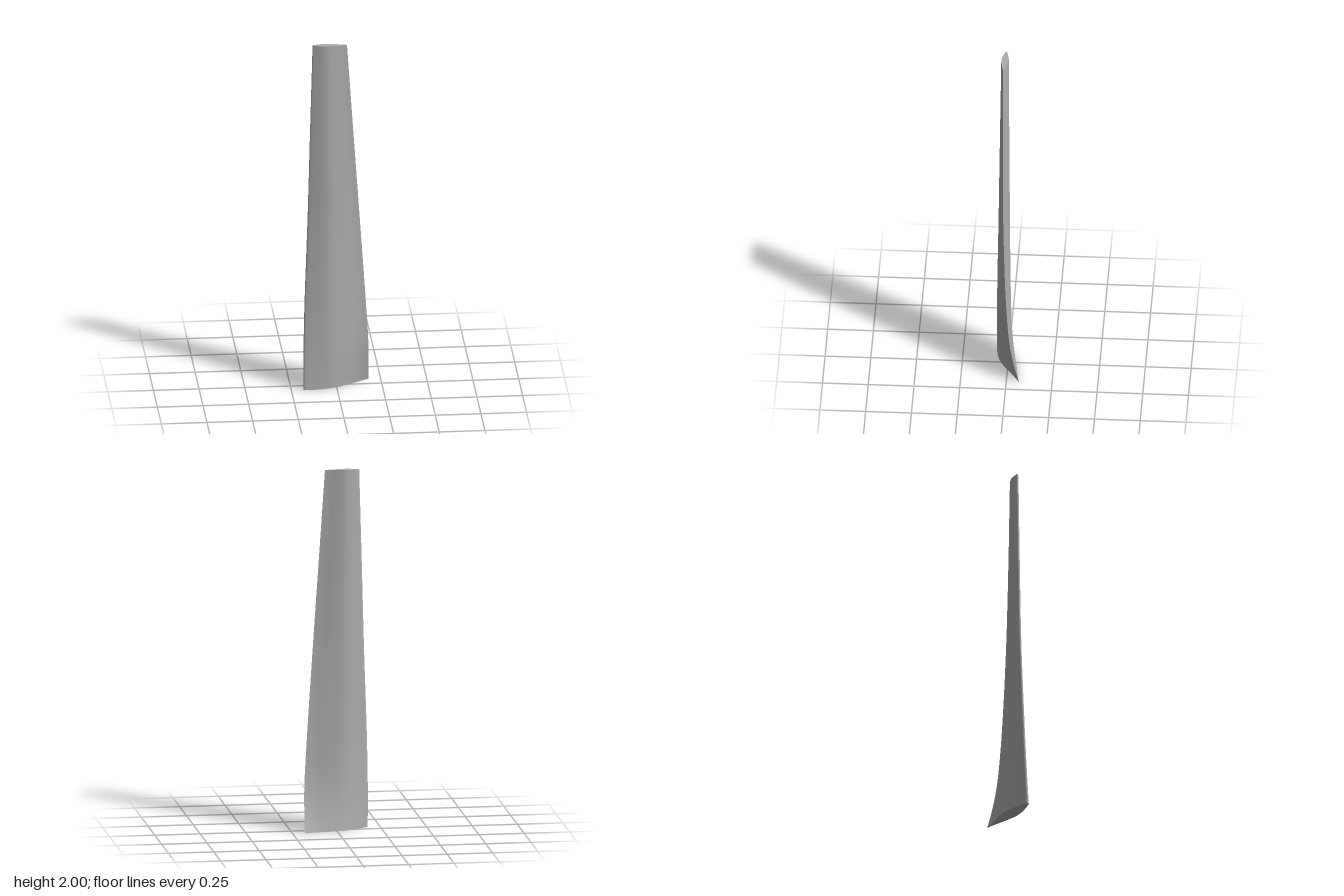
import * as THREE from 'three';

const STEPS_U = 40, STEPS_V = 60;

// Leading and trailing edge of the blade: [y, x, z]
const curve = pts => new THREE.CatmullRomCurve3(pts.map(([y, x, z]) => new THREE.Vector3(x, y, z)));
const leadingEdge = curve([
  [0, -0.184, 0.064], [0.25, -0.182, 0.05], [0.5, -0.176, 0.04],
  [1, -0.158, 0.026], [1.5, -0.144, 0.02], [2, -0.13, 0.017],
]);
const trailingEdge = curve([
  [0, 0.183, -0.07], [0.1, 0.182, -0.045], [0.25, 0.178, -0.018], [0.5, 0.162, 0.002],
  [1, 0.127, 0.019], [1.5, 0.092, 0.024], [2, 0.058, 0.024],
]);

// Half thickness of the aerofoil as a share of the chord
const profile = new THREE.SplineCurve([
  [0, 0], [0.012, 0.016], [0.05, 0.032], [0.15, 0.062], [0.25, 0.088], [0.38, 0.106],
  [0.5, 0.1], [0.66, 0.071], [0.8, 0.037], [0.91, 0.014], [1, 0],
].map(p => new THREE.Vector2(...p)));

// Point on an edge curve at a given height
function atHeight(edge, y) {
  let lo = 0, hi = 1;
  for (let i = 0; i < 30; i++) {
    const mid = (lo + hi) / 2;
    if (edge.getPoint(mid).y < y) lo = mid; else hi = mid;
  }
  return edge.getPoint((lo + hi) / 2);
}

// One side of the cross-section, from leading to trailing edge
function section(y, side) {
  const a = atHeight(leadingEdge, y), b = atHeight(trailingEdge, y);
  const dx = b.x - a.x, dz = b.z - a.z;
  return Array.from({ length: STEPS_U + 1 }, (_, i) => {
    const p = profile.getPoint(i / STEPS_U);
    const t = p.y * side;
    return [a.x + dx * p.x - dz * t, y, a.z + dz * p.x + dx * t];
  });
}

// Smooth surface through rows of points
function loft(rows) {
  const n = rows[0].length, index = [];
  for (let r = 0; r < rows.length - 1; r++) {
    for (let i = 0; i < n - 1; i++) {
      const a = r * n + i, c = a + n;
      index.push(a, a + 1, c + 1, a, c + 1, c);
    }
  }
  const g = new THREE.BufferGeometry();
  g.setAttribute('position', new THREE.Float32BufferAttribute(rows.flat(2), 3));
  g.setIndex(index);
  g.computeVertexNormals();
  return g;
}

export function createModel() {
  const group = new THREE.Group();
  group.name = 'blade';
  const grey = new THREE.MeshStandardMaterial({ color: 0xb0b0b0 });
  grey.name = 'grey';
  const add = (name, rows) => {
    const mesh = new THREE.Mesh(loft(rows), grey);
    mesh.name = name;
    group.add(mesh);
  };

  // Sections sit closer together near the root, where the twist is strongest
  const heights = Array.from({ length: STEPS_V + 1 }, (_, i) => 2 * (i / STEPS_V) ** 1.4);
  add('frontSurface', heights.map(y => section(y, 1)));
  add('backSurface', heights.map(y => section(y, -1).reverse()));

  // Flat end faces
  add('tipCap', [section(2, 1), section(2, -1)]);
  add('rootCap', [section(0, -1), section(0, 1)]);
  return group;
}
